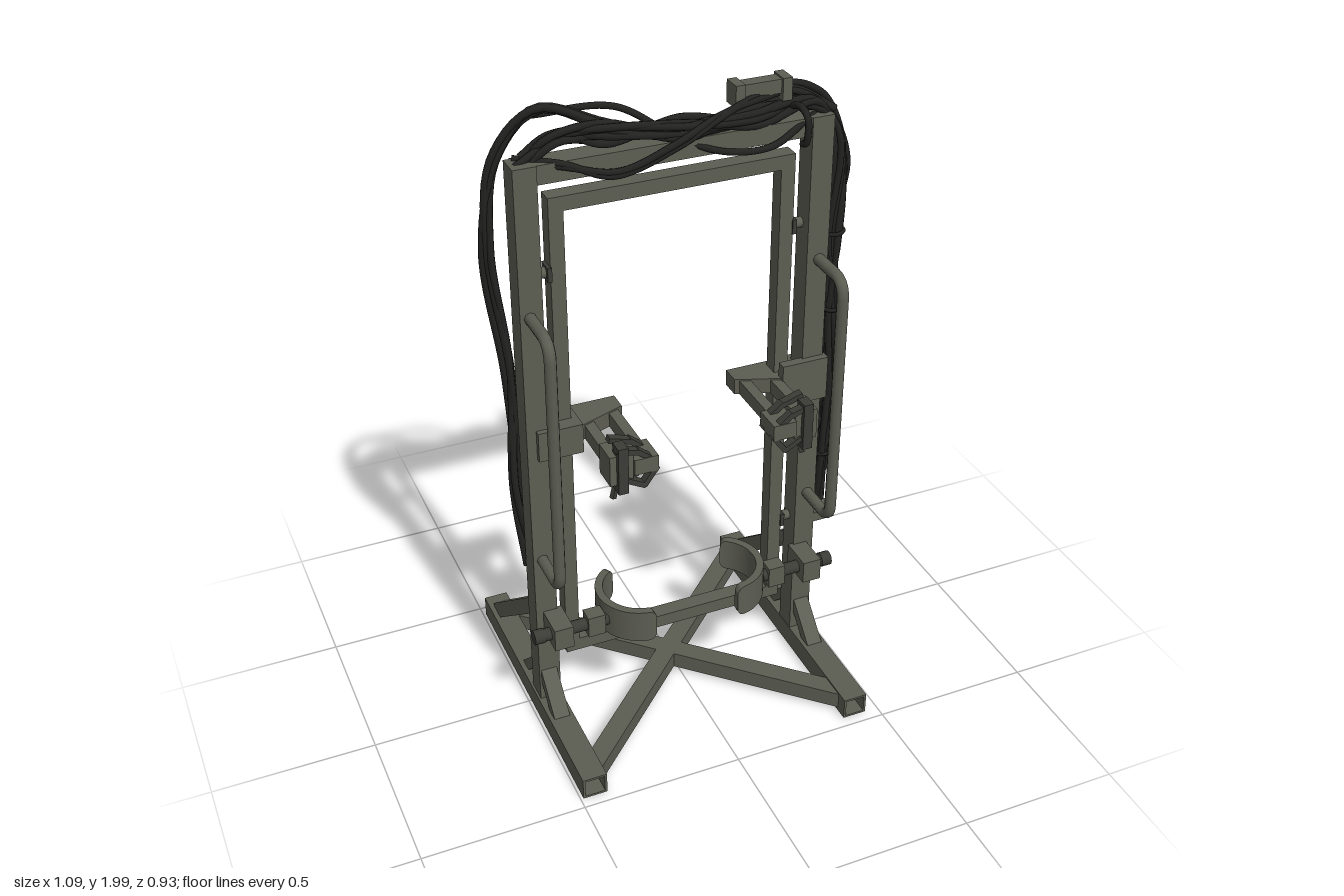
import * as THREE from 'three';

const mat = (name, color) => Object.assign(new THREE.MeshStandardMaterial({ color }), { name });
const steel = mat('olive grey steel', 0x5c5d52);
const dark = mat('dark metal', 0x3b3c36);
const rubber = mat('black cable', 0x222221);
const CX = -0.017; // symmetry plane of the frame

export function createModel() {
  const root = new THREE.Group();
  root.name = 'doorFrameRig';

  function add(name, geo, m) {
    const mesh = new THREE.Mesh(geo, m);
    mesh.name = name;
    root.add(mesh);
    return mesh;
  }
  // Box given by its limits
  function box(name, m, xa, xb, y0, y1, z0, z1) {
    const mesh = add(name, new THREE.BoxGeometry(Math.abs(xb - xa), y1 - y0, z1 - z0), m);
    mesh.position.set((xa + xb) / 2, (y0 + y1) / 2, (z0 + z1) / 2);
  }
  // Square bar between two points
  function bar(name, m, a, b, w, h) {
    const p = new THREE.Vector3(...a), q = new THREE.Vector3(...b);
    const mesh = add(name, new THREE.BoxGeometry(w, h, p.distanceTo(q)), m);
    mesh.position.copy(p).add(q).multiplyScalar(0.5);
    mesh.lookAt(q);
  }
  // Round rod along x
  function rod(name, m, xa, xb, y, z, r) {
    const g = new THREE.CylinderGeometry(r, r, Math.abs(xb - xa), 16).rotateZ(Math.PI / 2);
    add(name, g, m).position.set((xa + xb) / 2, y, z);
  }
  // Rectangular ring, extruded along z
  function ring(name, m, hw, hh, t, depth, x, y, z) {
    const rect = (P, a, b) => new P().moveTo(-a, -b).lineTo(a, -b).lineTo(a, b).lineTo(-a, b).closePath();
    const s = rect(THREE.Shape, hw, hh);
    s.holes.push(rect(THREE.Path, hw - t, hh - t));
    add(name, new THREE.ExtrudeGeometry(s, { depth, bevelEnabled: false }), m).position.set(x, y, z);
  }
  // Horizontal plate from an x-z outline, reaching down from its top
  function plate(name, m, pts, top, depth) {
    const s = new THREE.Shape(pts.map(([x, z]) => new THREE.Vector2(x, z)));
    add(name, new THREE.ExtrudeGeometry(s, { depth, bevelEnabled: false }).rotateX(Math.PI / 2), m).position.y = top;
  }
  function tube(name, m, curve, r, seg) {
    add(name, new THREE.TubeGeometry(curve, seg, r, 8), m);
  }
  const spline = (pts) => new THREE.CatmullRomCurve3(pts.map((p) => new THREE.Vector3(...p)));

  // Outer frame and inner frame
  box('topBeam', steel, CX - 0.467, CX + 0.467, 1.81, 1.865, 0.005, 0.075);
  ring('innerFrame', steel, 0.365, 0.777, 0.043, 0.05, CX, 0.978, 0.0);

  for (const s of [-1, 1]) {
    const X = (v) => CX + s * v;
    const side = s > 0 ? 'left' : 'right';

    // Floor brace crossing from rail to rail
    const e = 0.4, k = 0.385 * s, w = 0.043;
    plate('crossBrace', steel, [[CX - e, -k - w], [CX + e, k - w], [CX + e, k + w], [CX - e, -k + w]], 0.065, 0.053);

    // Open-ended floor rail, post and diagonal stays
    ring(side + 'FloorRail', steel, 0.038, 0.035, 0.007, 0.93, X(0.436), 0.035, -0.465);
    box(side + 'Post', steel, X(0.4), X(0.467), 0.07, 1.865, 0.005, 0.078);
    bar(side + 'RearStay', steel, [X(0.436), 0.39, 0.01], [X(0.436), 0.06, -0.4], 0.045, 0.05);
    bar(side + 'FrontStay', steel, [X(0.436), 0.175, 0.06], [X(0.436), 0.06, 0.175], 0.05, 0.035);
    bar(side + 'ShortRearStay', steel, [X(0.436), 0.175, 0.02], [X(0.436), 0.06, -0.1], 0.045, 0.035);

    // Pins holding the inner frame
    for (const y of [1.53, 0.5]) {
      rod(side + 'FramePin', steel, X(0.36), X(0.405), y, 0.03, 0.016);
      box(side + 'PinCollar', dark, X(0.362), X(0.375), y - 0.022, y + 0.022, 0.005, 0.055);
    }

    // Grab handle
    const hx = X(0.438), path = new THREE.CurvePath();
    const V = (y, z) => new THREE.Vector3(hx, y, z);
    path.add(new THREE.LineCurve3(V(1.425, 0.07), V(1.425, 0.175)));
    path.add(new THREE.QuadraticBezierCurve3(V(1.425, 0.175), V(1.425, 0.23), V(1.37, 0.23)));
    path.add(new THREE.LineCurve3(V(1.37, 0.23), V(0.66, 0.23)));
    path.add(new THREE.QuadraticBezierCurve3(V(0.66, 0.23), V(0.605, 0.23), V(0.605, 0.175)));
    path.add(new THREE.LineCurve3(V(0.605, 0.175), V(0.605, 0.07)));
    tube(side + 'GrabHandle', steel, path, 0.018, 120);

    // Sleeve, tapered arm and two forward prongs of the upper holder
    const U = (v) => s * v;
    box(side + 'HolderSleeve', steel, U(0.32), U(0.455), 0.965, 1.06, -0.02, 0.095);
    if (s > 0) box('sleevePlate', steel, 0.31, 0.458, 0.96, 1.1, 0.07, 0.1);
    plate(side + 'HolderArm', steel, [[U(0.33), -0.02], [U(0.18), -0.02], [U(0.18), 0.04], [U(0.33), 0.095]], 1.055, 0.05);
    for (const x of [0.21, 0.297]) box(side + 'HolderProng', steel, U(x - 0.016), U(x + 0.016), 1.005, 1.05, 0.02, 0.235);

    // Spring clip with jaws and fingers
    box(side + 'ClipBody', steel, U(0.25), U(0.32), 0.975, 1.07, 0.22, 0.3);
    for (const z of [0.235, 0.295]) {
      bar(side + 'ClipUpperJaw', dark, [U(0.3), 1.09, z], [U(0.235), 1.07, z], 0.025, 0.016);
      bar(side + 'ClipUpperTip', dark, [U(0.24), 1.075, z], [U(0.185), 1.03, z], 0.025, 0.016);
      bar(side + 'ClipLowerJaw', dark, [U(0.27), 0.985, z], [U(0.215), 0.955, z], 0.025, 0.016);
      bar(side + 'ClipLowerTip', dark, [U(0.22), 0.955, z], [U(0.18), 1.01, z], 0.025, 0.016);
    }
    box(side + 'ClipJawPad', steel, U(0.178), U(0.25), 1.0, 1.05, 0.22, 0.31);
    box(side + 'ClipRearPad', dark, U(0.27), U(0.3), 0.95, 1.1, 0.27, 0.315);
    bar(side + 'ClipFinger', dark, [U(0.275), 0.98, 0.25], [U(0.298), 0.905, 0.26], 0.014, 0.014);

    // Lower cradle: clamp, shaft and knob
    box(side + 'CradleClamp', steel, X(0.385), X(0.445), 0.335, 0.41, 0.07, 0.18);
    rod(side + 'CradleShaft', dark, X(0.26), X(0.49), 0.37, 0.135, 0.02);
    box(side + 'CradleJoint', steel, X(0.275), X(0.33), 0.335, 0.405, 0.11, 0.16);
    rod(side + 'CradleKnob', dark, X(0.465), X(0.498), 0.37, 0.135, 0.023);

    // Cradle pad: a slab with rounded ends bent into a C that opens to the middle
    const pad = new THREE.BoxGeometry(2, 2, 0.024, 48, 1, 1), pos = pad.attributes.position;
    const halfAngle = 1.35, corner = 0.15;
    for (let i = 0; i < pos.count; i++) {
      const u = pos.getX(i), r = 0.126 + pos.getZ(i), a = halfAngle * (u + s);
      const end = Math.min(1, Math.max(0, (Math.abs(u) - 1 + corner) / corner));
      const h = 0.054 - 0.02 * (1 - Math.sqrt(1 - end * end));
      pos.setXYZ(i, X(0.135) + r * Math.sin(a), 0.372 + pos.getY(i) * h, 0.09 + r * Math.cos(a));
    }
    pad.computeVertexNormals();
    add(side + 'CradlePad', pad, steel);
  }

  // Seeded spread for the cable bundles
  let seed = 7;
  const rnd = () => ((seed = (seed * 16807) % 2147483647) / 2147483647 - 0.5) * 2;
  function bundle(name, n, pts, spread, r) {
    for (let i = 0; i < n; i++) {
      tube(name, rubber, spline(pts.map((p) => p.map((v) => v + rnd() * spread))), r, 120);
    }
  }
  // Cables rising at the right post, crossing the top and falling at the left post
  const rise = [[-0.46, 0.52, -0.0], [-0.487, 0.8, -0.04], [-0.475, 1.2, -0.06], [-0.515, 1.58, -0.065],
    [-0.49, 1.85, -0.06], [-0.37, 1.965, -0.02]];
  const cross = [[-0.2, 1.92, 0.05], [0, 1.89, 0.065], [0.2, 1.89, 0.055], [0.4, 1.89, 0.035]];
  const fall = [[0.505, 1.72, 0.02], [0.48, 1.45, 0.04], [0.49, 1.24, 0.04], [0.505, 0.98, 0.045],
    [0.485, 0.73, 0.04], [0.475, 0.54, 0.035]];
  bundle('longCable', 4, [...rise, ...cross, ...fall], 0.018, 0.011);
  bundle('topCable', 4, [[-0.43, 1.86, 0.03], [-0.35, 1.91, 0.02], ...cross, ...fall], 0.024, 0.011);
  bundle('beamCable', 4, [[-0.46, 1.84, 0.03], [-0.36, 1.9, 0.04], [-0.2, 1.89, 0.03], [0, 1.885, 0.02],
    [0.2, 1.89, 0.02], [0.38, 1.89, 0.02], [0.475, 1.8, 0.03], ...fall.slice(1)], 0.02, 0.011);
  bundle('postCable', 2, [[0.3, 1.87, 0.03], [0.42, 1.89, 0.02], [0.475, 1.78, 0.03], ...fall.slice(1)], 0.016, 0.01);
  bundle('outerLoopCable', 2, [[0.22, 1.95, 0.05], [0.36, 1.94, 0], [0.47, 1.87, -0.02], [0.525, 1.7, 0.0],
    [0.495, 1.45, 0.03], [0.485, 1.2, 0.03]], 0.007, 0.011);
  bundle('tailCable', 2, [[0.48, 0.75, 0.04], [0.475, 0.5, 0.02], [0.462, 0.3, 0.01], [0.46, 0.18, 0.0]], 0.006, 0.007);
  // Slack loops hanging in front of the beam
  bundle('slackCable', 2, [[-0.46, 1.86, 0.0], [-0.35, 1.86, 0.07], [-0.2, 1.81, 0.1], [-0.04, 1.87, 0.11], [0.1, 1.93, 0.1],
    [0.22, 1.94, 0.06], [0.35, 1.93, 0.03], [0.46, 1.86, 0.04]], 0.01, 0.01);
  bundle('slackCable', 1, [[-0.4, 1.96, -0.04], [-0.15, 1.94, -0.03], [0, 1.86, 0.05], [0.12, 1.81, 0.09],
    [0.26, 1.81, 0.09], [0.38, 1.86, 0.06], [0.46, 1.85, 0.0]], 0.006, 0.01);

  // Cable ties and junction block
  for (const [x, y, z] of [[0.48, 1.49, 0.04], [0.49, 1.24, 0.04], [0.485, 0.73, 0.04]]) {
    const tie = add('cableTie', new THREE.TorusGeometry(0.034, 0.006, 6, 20), rubber);
    tie.rotation.x = Math.PI / 2;
    tie.position.set(x, y, z);
  }
  box('junctionBlock', steel, 0.45, 0.525, 0.48, 0.512, 0.015, 0.075);

  // Inline connector resting on the cables
  box('connectorBody', steel, 0.17, 0.31, 1.945, 1.985, 0.02, 0.06);
  for (const x of [0.165, 0.305]) box('connectorEnd', steel, x - 0.014, x + 0.014, 1.925, 1.99, 0.01, 0.07);
  // Small hook in front of the beam
  tube('hook', rubber, spline([[0.325, 1.9, 0.05], [0.325, 1.92, 0.11], [0.325, 1.9, 0.155], [0.325, 1.83, 0.15],
    [0.325, 1.82, 0.13]]), 0.01, 40);

  return root;
}
